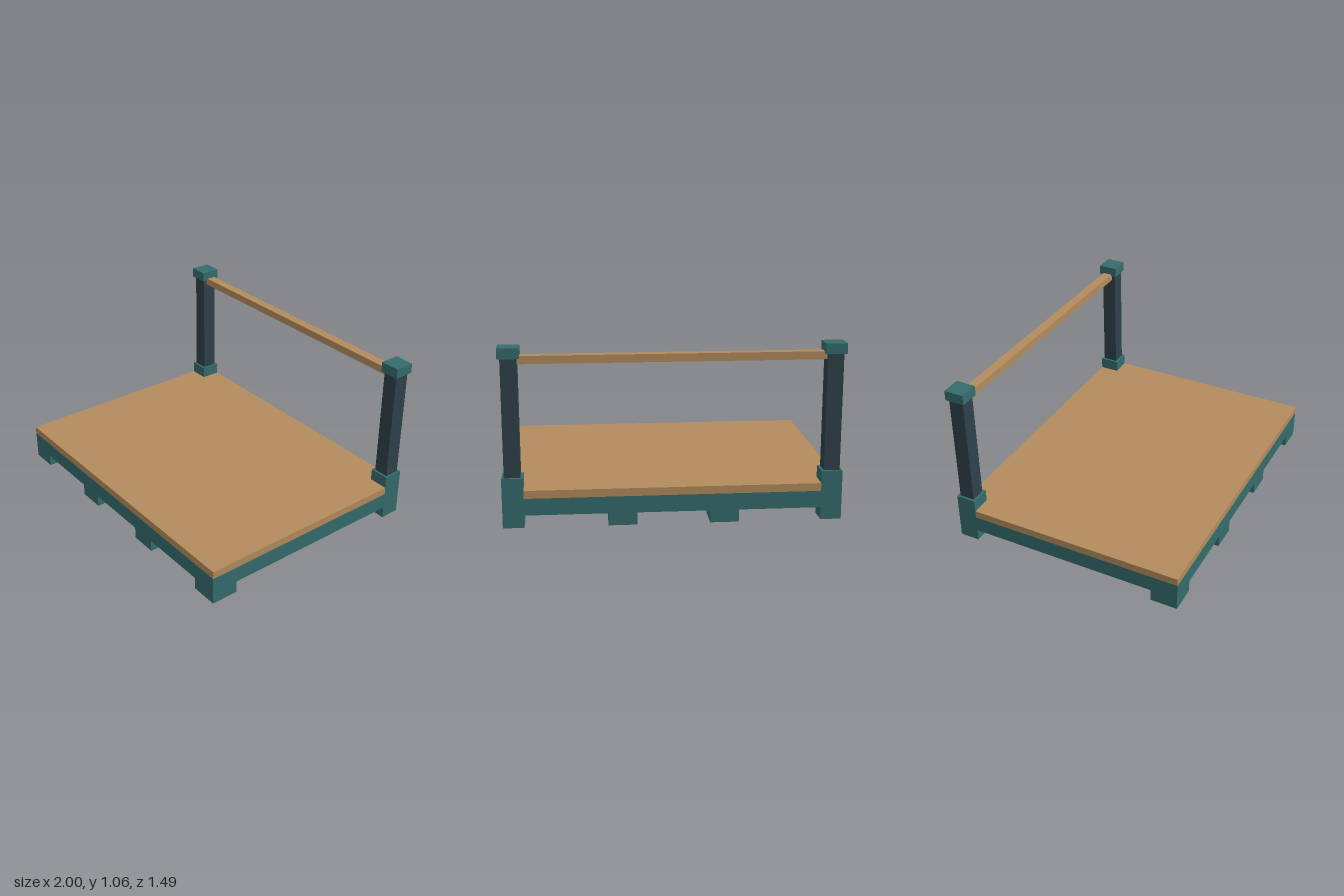
import * as THREE from 'three';

const teal = new THREE.MeshStandardMaterial({ color: 0x356c6d });
teal.name = 'teal paint';
const wood = new THREE.MeshStandardMaterial({ color: 0xb38c5d });
wood.name = 'tan wood';
const slate = new THREE.MeshStandardMaterial({ color: 0x2f4249 });
slate.name = 'dark slate';

const HALF_X = 1, HALF_Z = 0.747;   // platform half extents
const POST = 0.125;                 // footprint of post base and cap
const FOOT = 0.17, FOOT_H = 0.075;

export function createModel() {
  const model = new THREE.Group();
  model.name = 'platform';

  const add = (name, geometry, material, x = 0, y = 0, z = 0) => {
    const mesh = new THREE.Mesh(geometry, material);
    mesh.name = name;
    mesh.position.set(x, y, z);
    model.add(mesh);
  };
  // Box given by its bottom and top heights
  const box = (name, material, w, d, y0, y1, x, z) =>
    add(name, new THREE.BoxGeometry(w, y1 - y0, d), material, x, (y0 + y1) / 2, z);

  // Slab outline with both back corners cut out for the posts
  const inX = HALF_X - POST, inZ = HALF_Z - POST;
  const outline = new THREE.Shape([
    [-HALF_X, -HALF_Z], [HALF_X, -HALF_Z], [HALF_X, inZ], [inX, inZ],
    [inX, HALF_Z], [-inX, HALF_Z], [-inX, inZ], [-HALF_X, inZ],
  ].map(([x, y]) => new THREE.Vector2(x, y)));
  const slab = (name, material, y0, y1) => {
    const geometry = new THREE.ExtrudeGeometry(outline, { depth: y1 - y0, bevelEnabled: false });
    add(name, geometry.rotateX(-Math.PI / 2), material, 0, y0, 0);
  };
  slab('frame', teal, FOOT_H, 0.177);
  slab('deck', wood, 0.177, 0.225);

  // Feet: four along the front, two along the back between the posts
  const footZ = HALF_Z - FOOT / 2;
  for (const x of [-0.915, -0.3, 0.3, 0.915])
    box('frontFoot', teal, FOOT, FOOT, 0, FOOT_H, x, footZ);
  for (const x of [-0.3, 0.3])
    box('backFoot', teal, FOOT, FOOT, 0, FOOT_H, x, -footZ);

  // Back corner posts
  const postX = HALF_X - POST / 2, postZ = -HALF_Z + POST / 2;
  for (const side of [-1, 1]) {
    box('postBase', teal, POST, POST, 0, 0.3, side * postX, postZ);
    box('post', slate, 0.095, 0.095, 0.3, 1, side * postX, postZ);
    box('postCap', teal, POST, POST, 1, 1.062, side * postX, postZ);
  }

  // Hand rail, its ends set into the posts
  box('rail', wood, 1.8, 0.06, 0.965, 1.012, 0, -0.688);

  return model;
}
